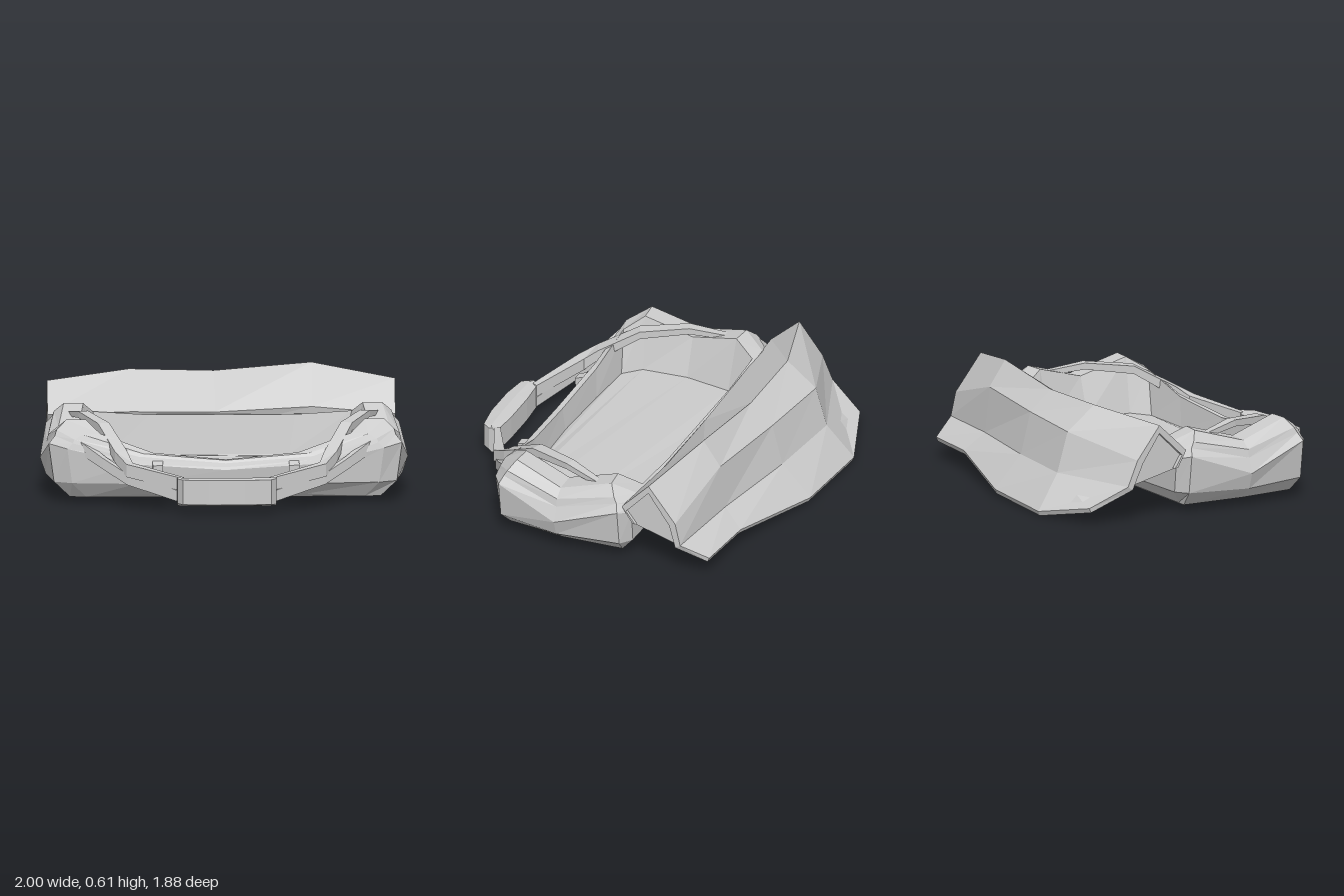
import * as THREE from 'three';

const material = new THREE.MeshStandardMaterial({ color: 0xcccccc, flatShading: true, side: THREE.DoubleSide });

// Skins closed rings of [x, y, z] points into a solid; ends are closed by strips across the ring.
function loft(name, rings) {
  const tris = [];
  const n = rings[0].length;
  const quad = (a, b, c, d) => tris.push([a, b, c], [a, c, d]);
  for (let r = 0; r < rings.length - 1; r++) {
    for (let i = 0; i < n; i++) {
      const j = (i + 1) % n;
      quad(rings[r][i], rings[r][j], rings[r + 1][j], rings[r + 1][i]);
    }
  }
  const cap = (g, flip) => {
    for (let i = 0; i + 1 <= n - 2 - i; i++) {
      const q = [g[i], g[i + 1], g[n - 2 - i], g[n - 1 - i]];
      if (flip) q.reverse();
      quad(...q);
    }
  };
  cap(rings[0], true);
  cap(rings[rings.length - 1], false);
  // Turn the faces outward whichever way the rings run
  const v = (p) => new THREE.Vector3(...p);
  const volume = tris.reduce((s, [a, b, c]) => s + v(a).dot(v(b).cross(v(c))), 0);
  if (volume < 0) tris.forEach((t) => t.reverse());
  const geometry = new THREE.BufferGeometry();
  geometry.setAttribute('position', new THREE.Float32BufferAttribute(tris.flat(2), 3));
  geometry.computeVertexNormals();
  const mesh = new THREE.Mesh(geometry, material);
  mesh.name = name;
  return mesh;
}

// Open tub: one plan outline, scaled and lifted level by level, outside then inside
function makeBody() {
  // x, z, z-scale zone (0 front, 1 ends, 2 back), height column
  const plan = [
    [0, 0.61, 0, 0], [0.5, 0.59, 0, 1], [0.86, 0.555, 0, 2], [0.96, 0.49, 1, 3], [1, 0.14, 1, 4],
    [0.96, -0.22, 1, 3], [0.89, -0.275, 2, 2], [0.5, -0.28, 2, 5], [0, -0.28, 2, 5],
  ];
  // x scale; z scales; heights at front middle, front, corners, end corners, ends, back
  const levels = [
    { kx: 0.88, kz: [0.84, 0.95, 0.82], h: [0.04, 0.055, 0.035, 0.035, 0.04, 0.04] },
    { kx: 0.97, kz: [0.97, 1, 0.99], h: [0.11, 0.12, 0.12, 0.12, 0.11, 0.115] },
    { kx: 1, kz: [1, 1, 1], h: [0.2, 0.23, 0.31, 0.33, 0.2, 0.29] },
    { kx: 0.965, kz: [0.985, 0.95, 1], h: [0.215, 0.25, 0.34, 0.37, 0.28, 0.32] },
    { kx: 0.955, kz: [0.97, 0.9, 0.99], h: [0.235, 0.27, 0.36, 0.4, 0.325, 0.34] },
    { kx: 0.9, kz: [0.95, 0.8, 0.985], h: [0.25, 0.285, 0.385, 0.45, 0.365, 0.365] },
    { kx: 0.79, kz: [0.88, 0.77, 0.95], h: [0.25, 0.285, 0.385, 0.45, 0.37, 0.365] },
    { kx: 0.72, kz: [0.84, 0.72, 0.87], h: [0.12, 0.125, 0.14, 0.15, 0.15, 0.15] },
  ];
  const rings = levels.map(({ kx, kz, h }) => {
    const half = plan.map(([x, z, zone, k]) => [x * kx, h[k], 0.16 + (z - 0.16) * kz[zone]]);
    const other = half.slice(1, -1).reverse().map(([x, y, z]) => [-x, y, z]);
    return [...half, ...other];
  });
  return loft('body', rings);
}

// Folded-back lid: [z, y] of inner lip, hinge edge, crest, back bend, flap crease, flap edge
function makeLid() {
  const group = new THREE.Group();
  group.name = 'lid';
  const stations = [
    [-0.95, [-0.3, 0.28], [-0.25, 0.37], [-0.42, 0.53], [-0.56, 0.35], [-0.62, 0.21], [-0.82, 0.1]],
    [-0.5, [-0.31, 0.28], [-0.27, 0.38], [-0.56, 0.57], [-0.73, 0.44], [-0.795, 0.22], [-0.94, 0.03]],
    [-0.04, [-0.31, 0.28], [-0.28, 0.375], [-0.555, 0.56], [-0.685, 0.45], [-0.745, 0.22], [-0.91, 0.045]],
    [0.49, [-0.32, 0.28], [-0.3, 0.4], [-0.52, 0.61], [-0.62, 0.47], [-0.65, 0.22], [-0.76, 0.125]],
    [0.94, [-0.3, 0.28], [-0.24, 0.37], [-0.4, 0.54], [-0.56, 0.34], [-0.59, 0.21], [-0.73, 0.125]],
  ];
  const inset = [[-0.02, -0.005], [-0.025, -0.025], [0, -0.045], [0.035, -0.02], [0.03, -0.02], [0.01, -0.025]];
  // The flap's outer corners are cut back, its middle spread
  const flapX = (x, i) => (i < 5 ? x : x * (Math.abs(x) > 0.9 ? 0.92 : 1.08));
  const rings = stations.map(([x, ...pts]) => [
    ...pts.map(([z, y], i) => [flapX(x, i), y, z]),
    ...pts.map(([z, y], i) => [flapX(x, i), y + inset[i][1], z + inset[i][0]]).reverse(),
  ]);
  group.add(loft('lidShell', rings));

  // End panels, slightly recessed, close the hollow under the shell
  for (const [station, s] of [[stations[0], -1], [stations[4], 1]]) {
    const panel = station.slice(1, 6);
    const ring = (x) => panel.map(([z, y]) => [x, y - 0.01, z + (z < -0.45 ? 0.01 : -0.01)]);
    group.add(loft('lidEnd', [ring(0.925 * s), ring(0.9 * s)]));
  }
  return group;
}

// Strap of rectangular section along [x, y, z, half width, half height]
function strap(name, path, side) {
  const rings = path.map(([x, y, z, w, h], i) => {
    const a = path[Math.max(i - 1, 0)];
    const b = path[Math.min(i + 1, path.length - 1)];
    const n = new THREE.Vector2(-(b[2] - a[2]), b[0] - a[0]).normalize().multiplyScalar(w);
    return [[1, 1], [1, -1], [-1, -1], [-1, 1]].map(([p, q]) => [side * (x + p * n.x), y + q * h, z + p * n.y]);
  });
  return loft(name, rings);
}

function makeHandle() {
  const group = new THREE.Group();
  group.name = 'handle';
  for (const side of [1, -1]) {
    // Upper strap arches over the opening, lower strap joins the front corner
    group.add(strap('upperStrap', [
      [0.84, 0.4, -0.1, 0.016, 0.012], [0.765, 0.435, 0.15, 0.028, 0.018], [0.66, 0.405, 0.4, 0.033, 0.022],
      [0.57, 0.275, 0.61, 0.036, 0.03], [0.525, 0.215, 0.69, 0.03, 0.035], [0.24, 0.16, 0.835, 0.017, 0.035],
    ], side));
    group.add(strap('lowerStrap', [
      [0.8, 0.33, 0.51, 0.025, 0.035], [0.66, 0.24, 0.61, 0.018, 0.03],
      [0.53, 0.165, 0.69, 0.017, 0.03], [0.24, 0.09, 0.835, 0.017, 0.03],
    ], side));
  }
  // Curved grip: x, back z, front z
  const grip = [
    [-0.27, 0.835, 0.87], [-0.24, 0.825, 0.915], [-0.1, 0.815, 0.935],
    [0.1, 0.815, 0.935], [0.24, 0.825, 0.915], [0.27, 0.835, 0.87],
  ];
  group.add(loft('grip', grip.map(([x, b, f]) => [
    [x, 0.05, b], [x, 0.185, b], [x, 0.2, (b + f) / 2], [x, 0.195, f], [x, 0.06, f], [x, 0.045, (b + f) / 2],
  ])));
  return group;
}

// Small clip: an upright tab with a hooked top, pointing along dir
function makeClip(name, x, y, z, dir) {
  const profile = [[-0.03, 0.14], [0.035, 0.12], [0.035, 0.08], [0.012, 0.06], [0.012, 0], [-0.03, 0]];
  const ring = (s) => profile.map(([d, h]) => [x + 0.028 * s, y + h, z + dir * d]);
  return loft(name, [ring(-1), ring(1)]);
}

export function createModel() {
  const model = new THREE.Group();
  model.name = 'openBasket';
  model.add(makeBody(), makeLid(), makeHandle());
  for (const s of [1, -1]) {
    model.add(makeClip('frontClip', 0.37 * s, 0.11, 0.605, 1));
    model.add(makeClip('hingeClip', 0.42 * s, 0.17, -0.3, -1));
  }
  return model;
}
